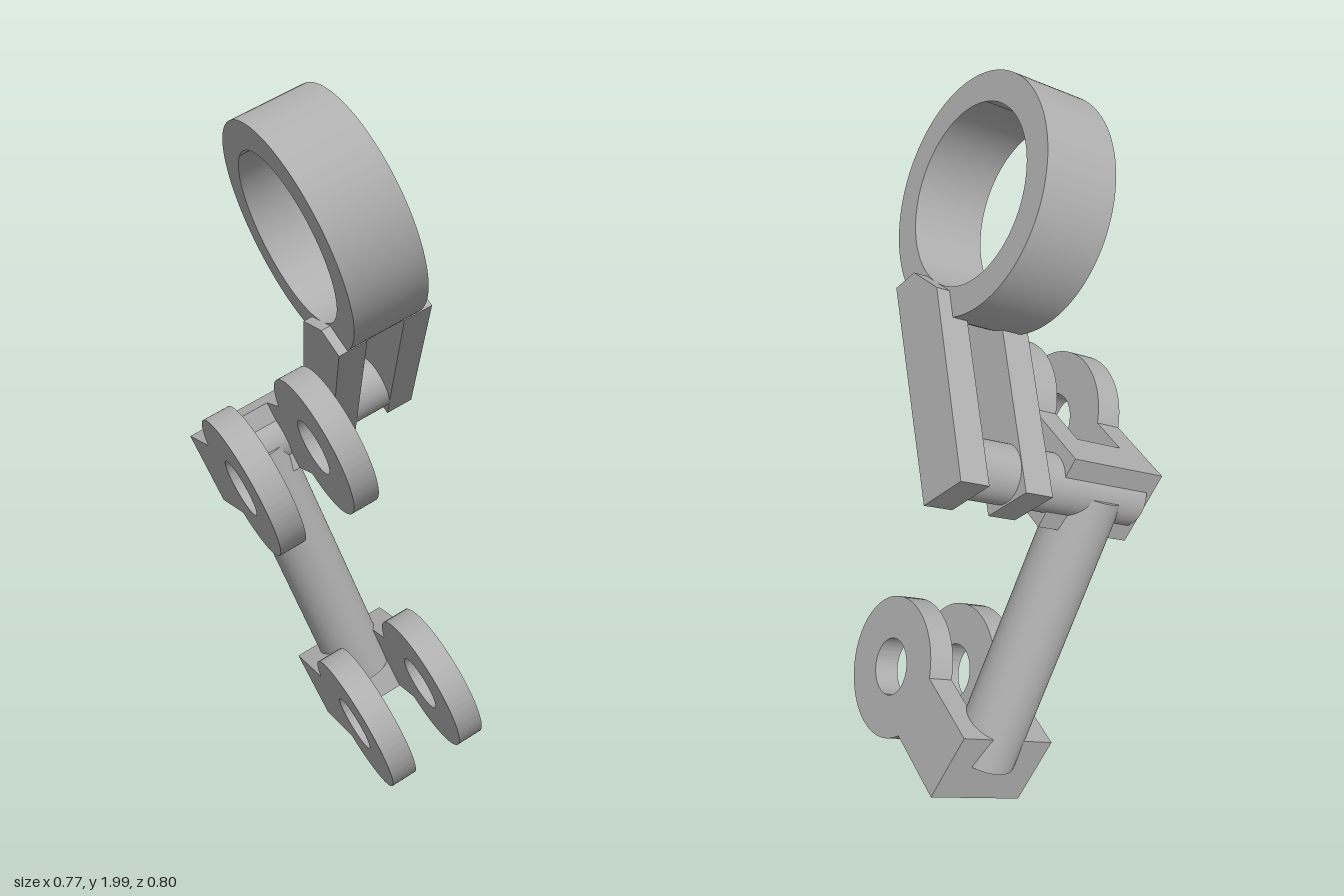
import * as THREE from 'three';
import { toCreasedNormals } from 'three/addons/utils/BufferGeometryUtils.js';

const TILT = THREE.MathUtils.degToRad(23.5);   // whole linkage leans sideways
const EYE_Z = 0.074;                           // z of the ring and bracket eyes
const PIN_Z = -0.281, LOW = 0.1, HIGH = 0.93;  // joint positions on the post

export function createModel() {
  const grey = new THREE.MeshStandardMaterial({ color: 0xb0b0b0 });
  grey.name = 'light grey';
  const model = new THREE.Group();
  model.name = 'hingedLinkage';
  const body = new THREE.Group();
  body.name = 'tiltedBody';
  body.rotation.z = TILT;
  model.add(body);

  const add = (parent, name, geometry, x = 0, y = 0, z = 0) => {
    const mesh = new THREE.Mesh(geometry, grey);
    mesh.name = name;
    mesh.position.set(x, y, z);
    parent.add(mesh);
    return mesh;
  };

  // Extrudes a side profile (shape x = backwards, shape y = up) along x, with an optional turn
  const sidePlate = (shape, width, turn = 0) => {
    const g = new THREE.ExtrudeGeometry(shape, { depth: width, bevelEnabled: false, curveSegments: 64 });
    g.rotateZ(turn).rotateY(Math.PI / 2);
    return toCreasedNormals(g, 0.5);
  };
  const hole = (r) => new THREE.Path().absarc(0, 0, r, 0, Math.PI * 2, true);

  // Clevis bracket: two eye plates joined by a block at the back
  const eyeR = 0.207, half = 0.108, reach = 0.42, droop = -0.182;
  const eye = new THREE.Shape();
  const a = Math.asin(half / eyeR);
  eye.absarc(0, 0, eyeR, a, Math.PI * 2 - a, false);
  eye.lineTo(reach, -half);
  eye.lineTo(reach, half);
  eye.closePath();
  eye.holes.push(hole(0.083));
  const plateGeo = sidePlate(eye, 0.077, droop);

  const block = new THREE.Shape([
    new THREE.Vector2(0.303, -half), new THREE.Vector2(reach, -half),
    new THREE.Vector2(reach, half), new THREE.Vector2(0.303, half),
  ]);
  const blockGeo = sidePlate(block, 0.15, droop);

  for (const [name, y] of [['lowerBracket', 0.17], ['upperBracket', 1.0]]) {
    const bracket = new THREE.Group();
    bracket.name = name;
    bracket.position.set(0, y, EYE_Z);
    add(bracket, 'rightEyePlate', plateGeo, 0.1);
    add(bracket, 'leftEyePlate', plateGeo, 0.326);
    add(bracket, 'bridgeBlock', blockGeo, 0.177);
    body.add(bracket);
  }

  // Post between the brackets
  add(body, 'post', new THREE.CylinderGeometry(0.093, 0.093, HIGH - LOW, 64),
    0.252, (LOW + HIGH) / 2, PIN_Z);

  // Hinge pin from the upper bracket through both link arms
  const pinGeo = new THREE.CylinderGeometry(0.08, 0.08, 0.56, 64).rotateZ(Math.PI / 2);
  add(body, 'hingePin', pinGeo, 0.4, HIGH, PIN_Z);

  // Slanted link arms carrying the ring
  const arm = new THREE.Shape([
    [0.29, 0.815], [0.4, 0.932], [0.0, 1.303], [-0.13, 1.303], [-0.19, 1.24],
  ].map(([s, y]) => new THREE.Vector2(s, y)));
  const armGeo = sidePlate(arm, 0.086);
  add(body, 'rightLinkArm', armGeo, 0.46);
  add(body, 'leftLinkArm', armGeo, 0.66);

  // Ring on top
  const ring = new THREE.Shape().absarc(0, 0, 0.326, 0, Math.PI * 2, false);
  ring.holes.push(hole(0.244));
  add(body, 'ring', sidePlate(ring, 0.219), 0.487, 1.547, EYE_Z);

  return model;
}
